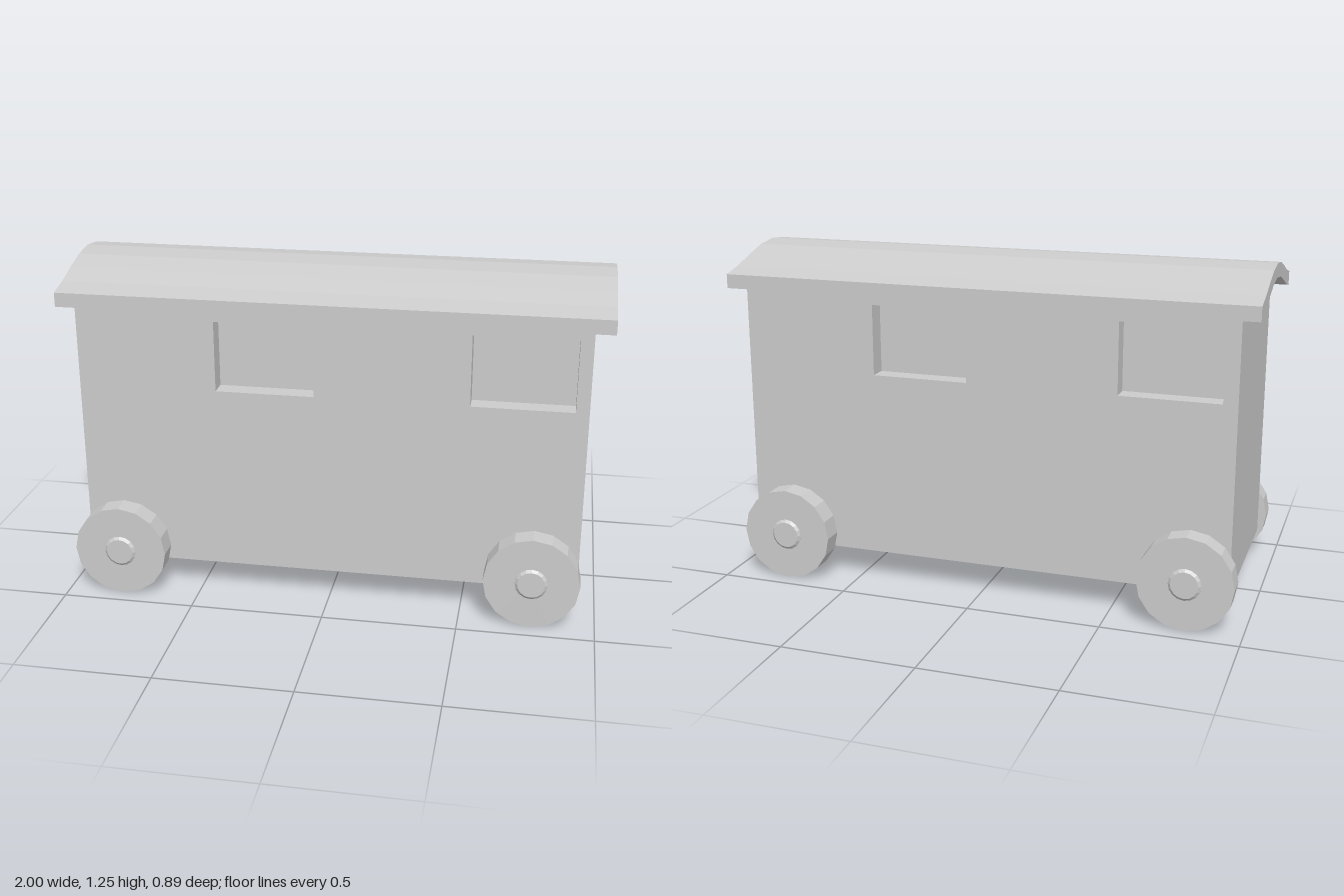
import * as THREE from 'three';

const flat = new THREE.MeshStandardMaterial({ color: 0xcccccc, flatShading: true });

function addMesh(parent, name, geometry) {
  const mesh = new THREE.Mesh(geometry, flat);
  mesh.name = name;
  parent.add(mesh);
  return mesh;
}

// Extrudes a [z, y] outline along x, centred on x = 0
function extrudeAlongX(outline, length) {
  const shape = new THREE.Shape(outline.map(([z, y]) => new THREE.Vector2(z, y)));
  const geometry = new THREE.ExtrudeGeometry(shape, { depth: length, bevelEnabled: false });
  return geometry.translate(0, 0, -length / 2).rotateY(Math.PI / 2);
}

export function createModel() {
  const model = new THREE.Group();
  model.name = 'wagon';

  const X0 = -0.935, X1 = 0.93, BOTTOM = 0.115;
  const HALF_DEPTH = 0.347, RECESS = 0.07;

  // Arched roof slab
  const half = [[0.37, 1.166], [0.28, 1.187], [0.195, 1.215], [0.097, 1.243]];
  const arc = [...half.map(([z, y]) => [-z, y]), [0, 1.254], ...half.slice().reverse()];
  const THICKNESS = 0.053;
  const under = arc.map(([z, y]) => [z, y - THICKNESS]).reverse();
  addMesh(model, 'roof', extrudeAlongX([...arc, ...under], 2));

  // Body core, its top tucked into the roof
  const inner = HALF_DEPTH - RECESS;
  const top = arc.filter(([z]) => Math.abs(z) < 0.25).map(([z, y]) => [z, y - 0.04]);
  const core = addMesh(model, 'bodyCore', extrudeAlongX(
    [[-inner, BOTTOM], [-inner, 1.148], ...top, [inner, 1.148], [inner, BOTTOM]], X1 - X0));
  core.position.x = (X0 + X1) / 2;

  // Side wall with two recessed window openings
  const rect = (Type, x0, x1, y0, y1) => new Type([
    new THREE.Vector2(x0, y0), new THREE.Vector2(x1, y0),
    new THREE.Vector2(x1, y1), new THREE.Vector2(x0, y1)]);
  function sideWall(x0, x1) {
    const shape = rect(THREE.Shape, x0, x1, BOTTOM, 1.145);
    for (const [a, b] of [[-0.417, -0.053], [0.512, 0.882]]) {
      shape.holes.push(rect(THREE.Path, a, b, 0.815, 1.08));
    }
    return new THREE.ExtrudeGeometry(shape, { depth: RECESS, bevelEnabled: false })
      .translate(0, 0, inner);
  }
  addMesh(model, 'frontWall', sideWall(X0, X1));
  addMesh(model, 'backWall', sideWall(-X1, -X0)).rotation.y = Math.PI;

  // Wheels with chamfered hubs on short axle stubs
  const RADIUS = 0.176;
  const wheelGeometry = new THREE.CylinderGeometry(RADIUS, RADIUS, 0.081, 16)
    .rotateX(Math.PI / 2).translate(0, 0, 0.3975);
  const hubProfile = [[0, 0.33], [0.06, 0.33], [0.06, 0.439], [0.05, 0.447], [0, 0.447]];
  const hubGeometry = new THREE.LatheGeometry(
    hubProfile.map(([r, y]) => new THREE.Vector2(r, y)), 16).rotateX(Math.PI / 2);
  for (const [end, x] of [['Right', -0.79], ['Left', 0.763]]) {
    for (const [side, s] of [['front', 1], ['back', -1]]) {
      const wheel = new THREE.Group();
      wheel.name = side + end + 'Wheel';
      addMesh(wheel, 'tyre', wheelGeometry);
      addMesh(wheel, 'hub', hubGeometry);
      wheel.position.set(x, RADIUS, 0);
      if (s < 0) wheel.rotation.y = Math.PI;
      model.add(wheel);
    }
  }

  return model;
}
